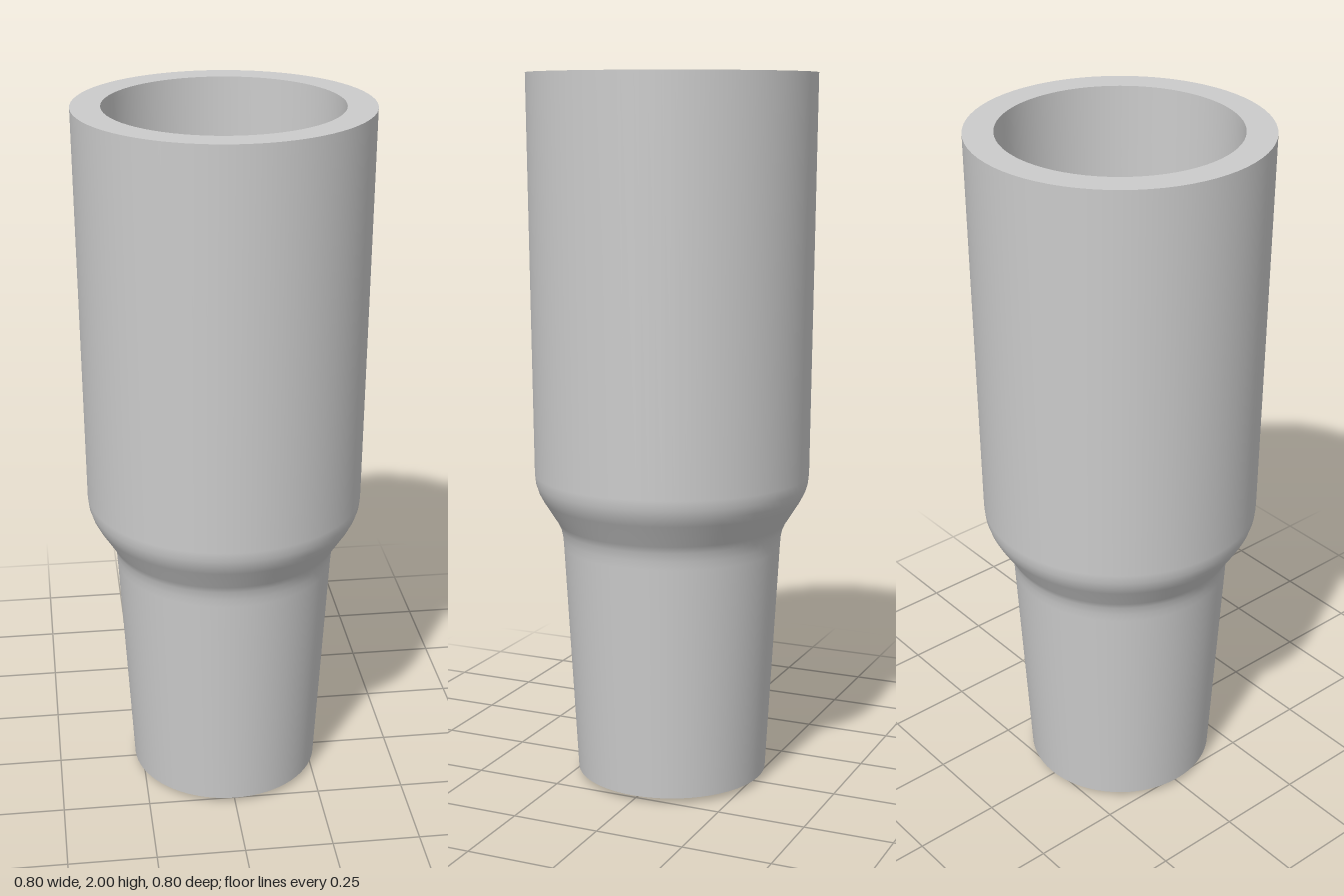
import * as THREE from 'three';

const SEGMENTS = 72;
const material = new THREE.MeshStandardMaterial({ color: 0xcccccc });

// Smooth surface of revolution; separate parts keep the edges between them sharp.
function revolve(name, profile) {
  const points = profile.map(([r, y]) => new THREE.Vector2(r, y));
  const mesh = new THREE.Mesh(new THREE.LatheGeometry(points, SEGMENTS), material);
  mesh.name = name;
  return mesh;
}

export function createModel() {
  const group = new THREE.Group();
  group.name = 'tumbler';

  // Tapered wall with a rounded shoulder, from base to rim
  const wall = [
    [0.272, 0.015], [0.309, 0.68], [0.311, 0.705], [0.316, 0.73], [0.325, 0.75],
    [0.366, 0.815], [0.378, 0.838], [0.386, 0.862], [0.389, 0.89], [0.4, 2],
  ];

  // The inside follows the wall at a constant thickness, down to the floor
  const thickness = 0.08;
  const floorY = 0.08;
  const inside = wall.slice(1).map(([r, y]) => [r - thickness, y]).reverse();
  inside.push([0.196, floorY]);

  group.add(
    revolve('base', [[0, 0], [0.272, 0.015]]),
    revolve('outerWall', wall),
    revolve('rim', [[0.4, 2], [0.4 - thickness, 2]]),
    revolve('innerWall', inside),
    revolve('innerFloor', [[0.196, floorY], [0, floorY]]),
  );
  return group;
}
